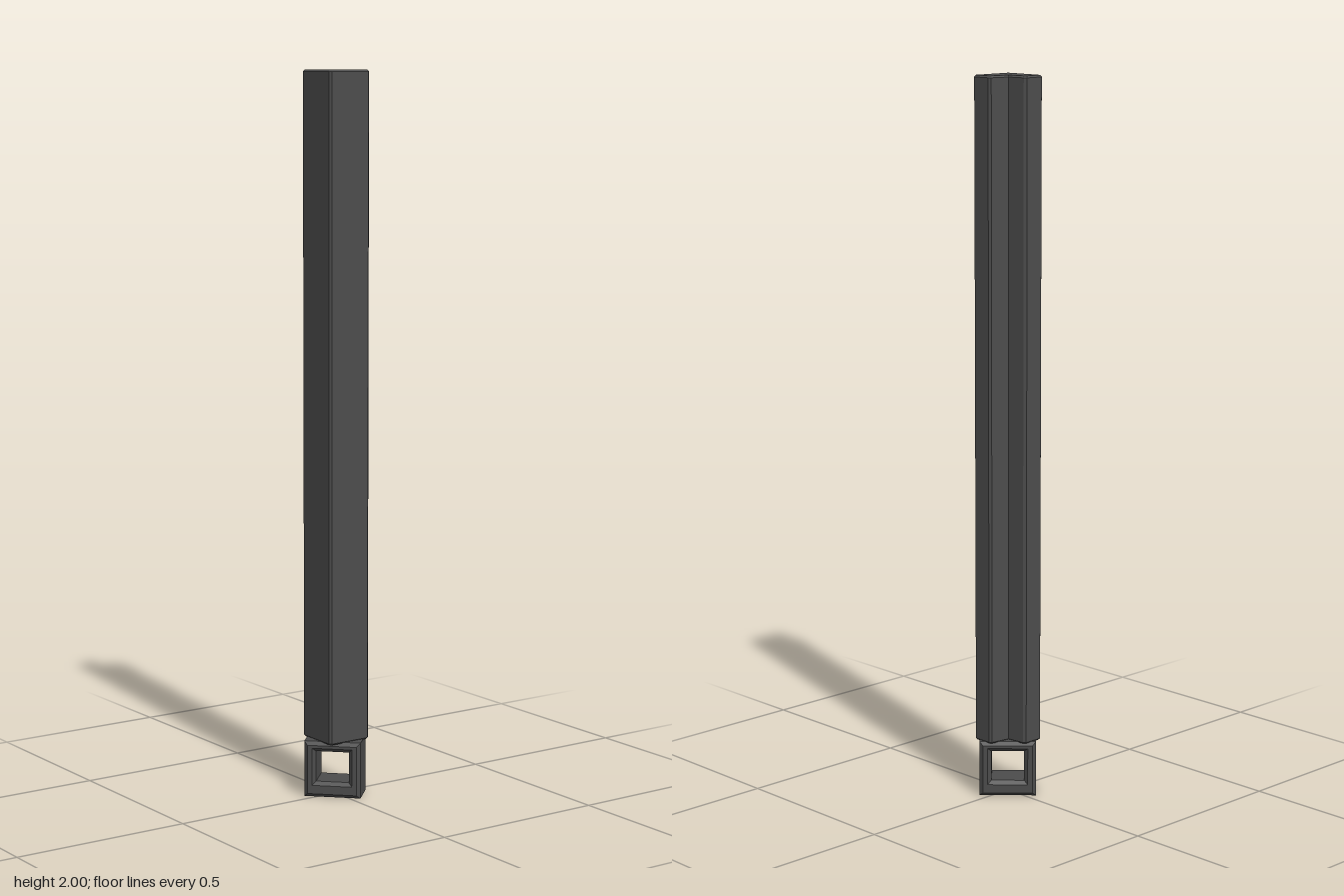
import * as THREE from 'three';

const material = new THREE.MeshStandardMaterial({ color: 0x4c4c4c, flatShading: true });

// Extrusion between two depths with a one-step chamfer that stays inside the outline
function chamferedExtrude(shape, length, chamfer) {
  const geometry = new THREE.ExtrudeGeometry(shape, {
    depth: length - 2 * chamfer, steps: 1, curveSegments: 1,
    bevelEnabled: true, bevelSegments: 1,
    bevelThickness: chamfer, bevelSize: chamfer, bevelOffset: -chamfer,
  });
  return geometry.translate(0, 0, chamfer);
}

const outline = (points) => points.map(([x, y]) => new THREE.Vector2(x, y));

export function createModel() {
  const model = new THREE.Group();
  model.name = 'cornerPost';

  // Long L-shaped post; profile is (x, -z), inner corner towards the back left
  const c = 0.006;
  const profile = new THREE.Shape(outline([
    [-0.055 + c, -0.055], [0.077 - c, -0.055], [0.077, -0.055 + c],
    [0.077, 0.004], [0.072, 0.011], [0.017, 0.02],
    [0.011, 0.071], [0.005, 0.078], [-0.055 + c, 0.078],
    [-0.055, 0.078 - c], [-0.055, -0.055 + c],
  ]));
  const postGeometry = chamferedExtrude(profile, 1.845, 0.005);
  postGeometry.rotateX(-Math.PI / 2);
  const post = new THREE.Mesh(postGeometry, material);
  post.name = 'post';
  post.position.y = 0.155;
  model.add(post);

  // Foot block turned 45 degrees, with a chamfered window right through it
  const w = 0.079, h = 0.158, depth = 0.106, bevel = 0.01;
  const face = new THREE.Shape(outline([[-w, 0], [w, 0], [w, h], [-w, h]]));
  // The window is drawn at its wide rim size less the chamfer
  const hw = 0.056, low = 0.034, high = 0.14;
  face.holes.push(new THREE.Path(outline([
    [-hw + bevel, low + bevel], [-hw + bevel, high - bevel],
    [hw - bevel, high - bevel], [hw - bevel, low + bevel],
  ].map(([x, y]) => [x * 1.0, y]))));
  const footGeometry = chamferedExtrude(face, depth, bevel);
  footGeometry.translate(0, 0, -depth / 2);
  const foot = new THREE.Mesh(footGeometry, material);
  foot.name = 'footBlock';
  foot.rotation.y = -Math.PI / 4;
  model.add(foot);

  return model;
}
